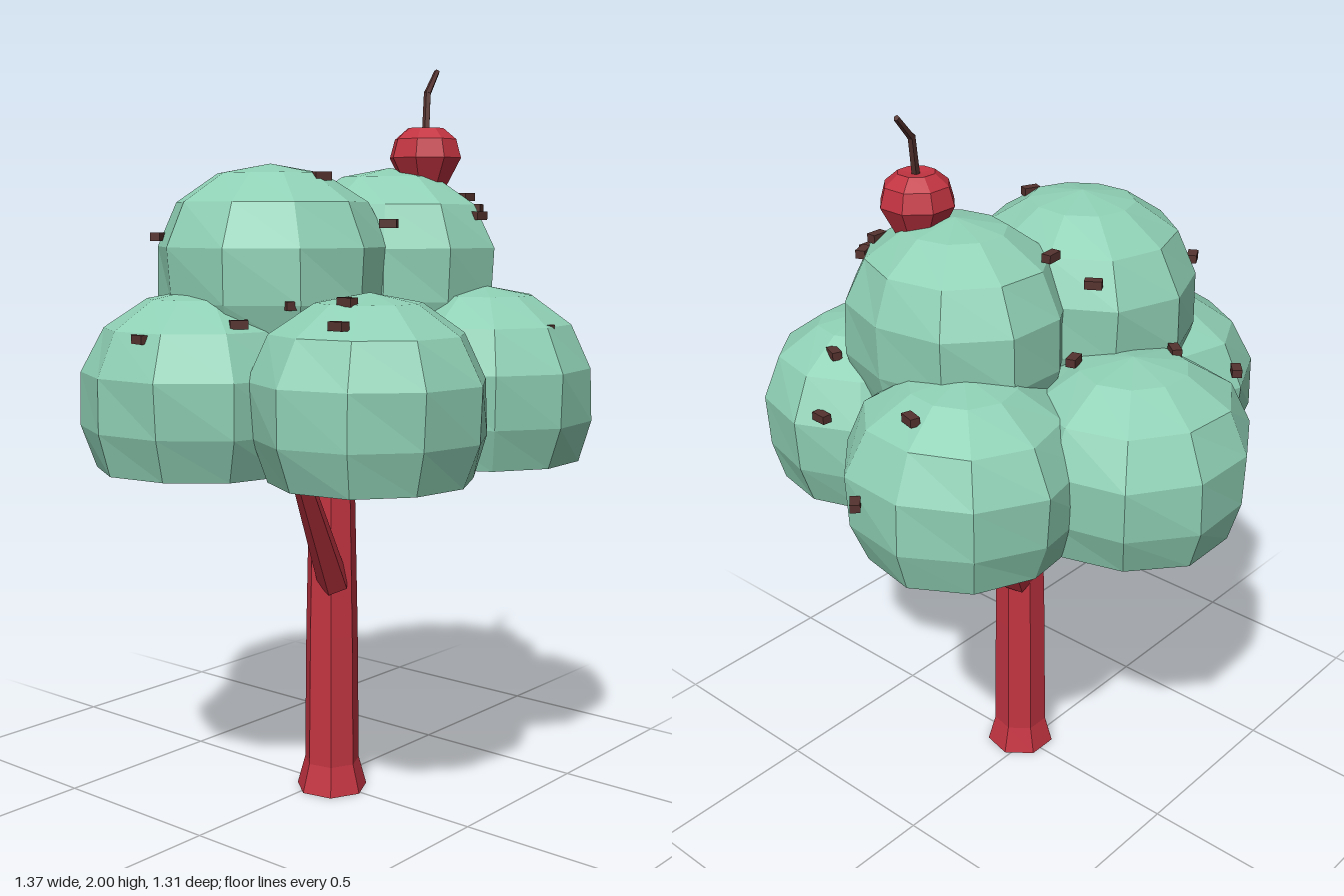
import * as THREE from 'three';

const flat = (color, name) => {
  const m = new THREE.MeshStandardMaterial({ color });
  m.flatShading = true;
  m.name = name;
  return m;
};

// Dome outline shared by all foliage puffs: [relative radius, height]
const DOME = [[0, 0], [0.87, 0], [0.99, 0.11], [1, 0.25], [0.82, 0.365], [0.45, 0.44], [0, 0.465]];

// Puffs: centre x, base y, centre z, radius x, radius z, turn
const PUFFS = [
  [0.0, 0.95, -0.35, 0.315, 0.315, 0.3],
  [-0.375, 0.95, -0.1, 0.31, 0.31, 0.1],
  [0.355, 0.95, -0.1, 0.31, 0.31, 0.5],
  [-0.255, 0.95, 0.365, 0.3, 0.295, 0.2],
  [0.235, 0.95, 0.365, 0.295, 0.295, 0.4],
  [-0.175, 1.27, -0.035, 0.295, 0.32, 0.0],
  [0.185, 1.265, 0.08, 0.275, 0.305, 0.25],
];

// Sprinkles: x, z, turn, and a height where the side is steep
const SPRINKLES = [
  [-0.29, -0.47, 0.7, 1.31], [-0.135, -0.38, 0.9], [-0.38, -0.25, 0.5], [0.03, -0.24, -1, 1.59],
  [0.09, -0.23, 0.3, 1.4], [0.075, -0.14, 0.1, 1.65], [0.54, -0.1, 1.3], [0.67, -0.03, 0.8, 1.16],
  [-0.62, -0.06, 1.4, 1.3], [-0.45, 0.11, -0.7, 1.335], [-0.35, 0.2, -0.4, 1.38], [-0.16, 0.13, -0.4],
  [-0.06, 0.27, -1.1, 1.58], [0.26, 0.285, 0, 1.65], [0.305, 0.29, 0.4, 1.62], [0.24, 0.34, 0, 1.6],
  [0.4, 0.32, 1.2, 1.36], [0.5, 0.27, 1.5, 1.23], [0.4, 0.5, 0.5, 1.3], [0.2, 0.58, -0.3, 1.31],
  [-0.01, 0.39, 0.8, 1.33], [-0.45, 0.43, 1.5], [-0.37, 0.39, 1.5],
];

// Height of the foliage surface above a point
function foliageTop(x, z) {
  let top = 0.95;
  for (const [cx, y, cz, rx, rz] of PUFFS) {
    const d = Math.hypot((x - cx) / rx, (z - cz) / rz);
    for (let i = 3; i < DOME.length - 1; i++) {
      const [r0, h0] = DOME[i], [r1, h1] = DOME[i + 1];
      if (d <= r0 && d >= r1) top = Math.max(top, y + h0 + (h1 - h0) * (r0 - d) / (r0 - r1));
    }
  }
  return top;
}

// Tapered prism between two points
function limb(a, b, r0, r1, sides, material, name) {
  const from = new THREE.Vector3(...a), to = new THREE.Vector3(...b);
  const dir = to.clone().sub(from);
  const mesh = new THREE.Mesh(new THREE.CylinderGeometry(r1, r0, dir.length(), sides), material);
  mesh.position.copy(from).add(to).multiplyScalar(0.5);
  mesh.quaternion.setFromUnitVectors(new THREE.Vector3(0, 1, 0), dir.normalize());
  mesh.name = name;
  return mesh;
}

const lathe = (points, sides) =>
  new THREE.LatheGeometry(points.map(([r, y]) => new THREE.Vector2(r, y)), sides);

export function createModel() {
  const mint = flat(0x8fd0b5, 'mint foliage');
  const red = flat(0xc23441, 'red');
  const brown = flat(0x56332f, 'dark brown');
  const model = new THREE.Group();
  model.name = 'tree';

  // Trunk with a flared foot
  const trunk = new THREE.Mesh(lathe([[0, 0], [0.1, 0], [0.078, 0.08], [0.074, 0.45], [0.063, 0.95], [0.06, 1.1], [0, 1.1]], 7), red);
  trunk.name = 'trunk';
  trunk.position.set(-0.01, 0, 0.037);
  model.add(trunk);

  // Two branches
  model.add(limb([-0.04, 0.6, 0.07], [-0.35, 1.04, 0.19], 0.045, 0.022, 5, red, 'rightBranch'));
  model.add(limb([0.03, 0.61, 0.01], [0.31, 1.04, -0.16], 0.045, 0.022, 5, red, 'leftBranch'));

  // Foliage puffs, slightly uneven
  const foliage = new THREE.Group();
  foliage.name = 'foliage';
  PUFFS.forEach(([x, y, z, rx, rz, turn], i) => {
    const geo = lathe(DOME, 10);
    const p = geo.attributes.position;
    for (let k = 0; k < p.count; k++) {
      const a = Math.atan2(p.getX(k), p.getZ(k)), h = p.getY(k);
      const s = 1 + 0.025 * Math.sin(3 * a + i * 2 + h * 9);
      p.setXYZ(k, p.getX(k) * s, h, p.getZ(k) * s);
    }
    geo.rotateY(turn);
    geo.scale(rx, 1, rz);
    geo.computeVertexNormals();
    const puff = new THREE.Mesh(geo, mint);
    puff.name = i < 5 ? 'lowerPuff' : 'upperPuff';
    puff.position.set(x, y, z);
    foliage.add(puff);
  });
  model.add(foliage);

  // Sprinkles lying on the foliage
  const sprinkles = new THREE.Group();
  sprinkles.name = 'sprinkles';
  const bar = new THREE.BoxGeometry(0.045, 0.022, 0.026);
  for (const [x, z, turn, y] of SPRINKLES) {
    const s = new THREE.Mesh(bar, brown);
    s.name = 'sprinkle';
    s.position.set(x, y ?? foliageTop(x, z) + 0.004, z);
    s.rotation.y = turn;
    sprinkles.add(s);
  }
  model.add(sprinkles);

  // Cherry with a bent stem
  const cherry = new THREE.Mesh(lathe([[0, 0], [0.06, 0], [0.1, 0.075], [0.086, 0.125], [0.05, 0.155], [0, 0.15]], 8), red);
  cherry.name = 'cherry';
  cherry.position.set(0.22, 1.68, 0.175);
  cherry.rotation.y = Math.PI / 8;
  model.add(cherry);
  model.add(limb([0.22, 1.82, 0.177], [0.246, 1.935, 0.162], 0.011, 0.01, 5, brown, 'lowerStem'));
  model.add(limb([0.243, 1.928, 0.163], [0.307, 1.993, 0.148], 0.01, 0.008, 5, brown, 'upperStem'));

  return model;
}
